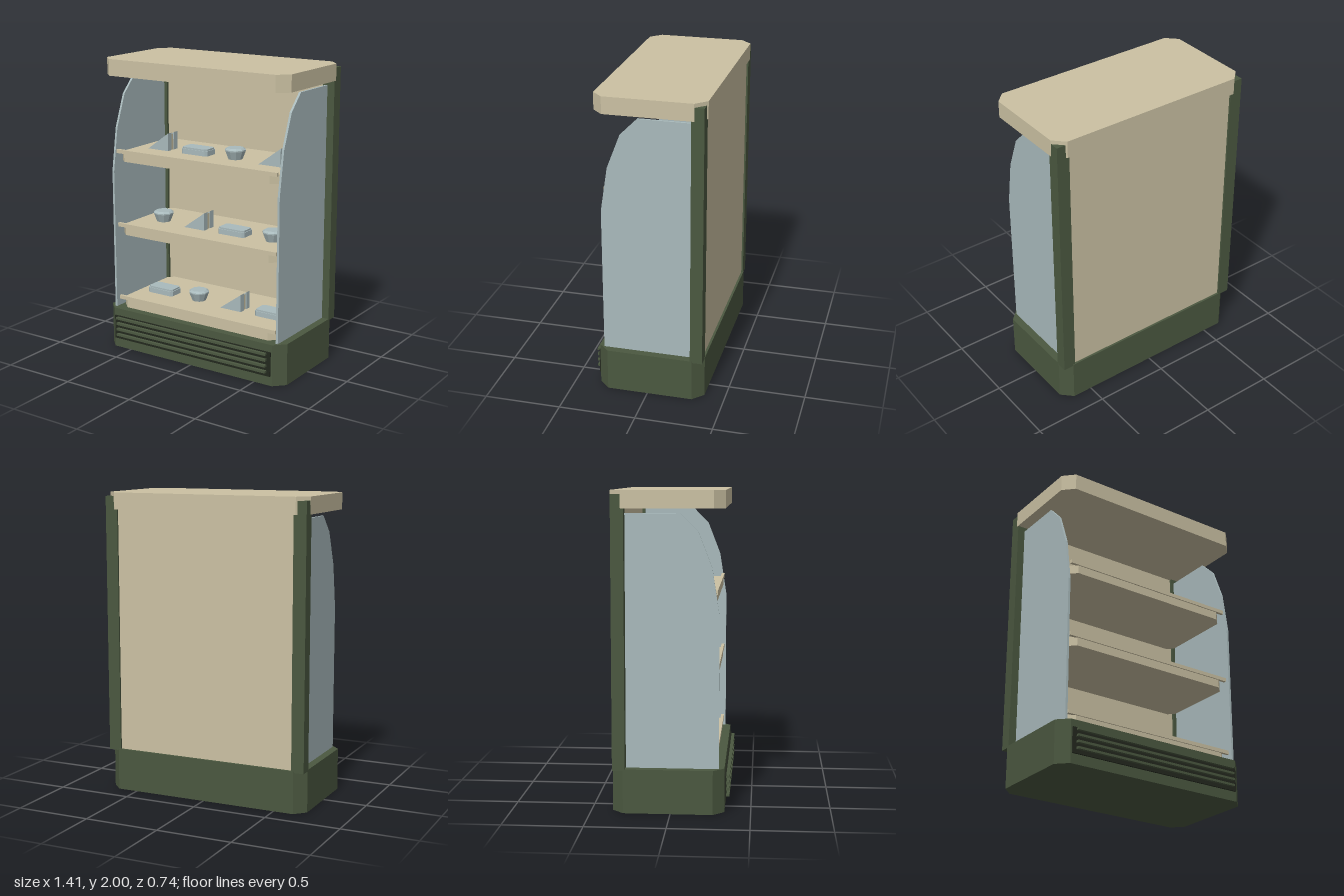
import * as THREE from 'three';

const mat = (name, color) => {
  const m = new THREE.MeshStandardMaterial({ color });
  m.name = name;
  return m;
};

export function createModel() {
  const cream = mat('cream', 0xcbc1a3);
  const green = mat('dark green', 0x4b5840);
  const glass = mat('pale blue', 0xa9babc);
  const black = mat('grille black', 0x23281e);
  const model = new THREE.Group();

  const add = (parent, name, geometry, material, x = 0, y = 0, z = 0) => {
    const mesh = new THREE.Mesh(geometry, material);
    mesh.name = name;
    mesh.position.set(x, y, z);
    parent.add(mesh);
    return mesh;
  };

  // Box given by its limits
  const box = (parent, name, material, x0, x1, y0, y1, z0, z1) =>
    add(parent, name, new THREE.BoxGeometry(x1 - x0, y1 - y0, z1 - z0), material,
      (x0 + x1) / 2, (y0 + y1) / 2, (z0 + z1) / 2);

  // Horizontal slab with its four upright corners cut off
  const slab = (halfX, z0, z1, cut, height) => {
    const s = new THREE.Shape([
      [-halfX + cut, -z1], [halfX - cut, -z1], [halfX, -z1 + cut], [halfX, -z0 - cut],
      [halfX - cut, -z0], [-halfX + cut, -z0], [-halfX, -z0 - cut], [-halfX, -z1 + cut],
    ].map(([x, y]) => new THREE.Vector2(x, y)));
    return new THREE.ExtrudeGeometry(s, { depth: height, bevelEnabled: false }).rotateX(-Math.PI / 2);
  };

  // Cabinet shell
  add(model, 'base', slab(0.705, -0.365, 0.335, 0.07, 0.28), green);
  add(model, 'canopy', slab(0.705, -0.37, 0.335, 0.07, 0.11), cream, 0, 1.89);
  box(model, 'backPanel', cream, -0.622, 0.622, 0.28, 1.89, -0.35, -0.3);

  // Curved side panes and rear corner posts
  const pane = new THREE.Shape([
    [-0.3, 0.28], [0.28, 0.28], [0.28, 1.86], [-0.06, 1.86],
    [-0.17, 1.75], [-0.255, 1.53], [-0.3, 1.24],
  ].map(([x, y]) => new THREE.Vector2(x, y)));
  const paneGeometry = new THREE.ExtrudeGeometry(pane, { depth: 0.015, bevelEnabled: false })
    .translate(0, 0, -0.0075).rotateY(Math.PI / 2);
  for (const side of [-1, 1]) {
    const label = side > 0 ? 'left' : 'right';
    add(model, label + 'Pane', paneGeometry, glass, side * 0.647);
    add(model, label + 'Post', new THREE.BoxGeometry(0.085, 1.705, 0.08), green, side * 0.6615, 1.1225, -0.322);
  }

  // Ventilation grille with slats
  box(model, 'grillePanel', black, -0.625, 0.625, 0.065, 0.23, 0.33, 0.345);
  for (let i = 0; i < 4; i++) {
    const y = 0.09 + i * 0.04;
    box(model, 'grilleSlat', green, -0.6, 0.6, y, y + 0.015, 0.34, 0.366);
  }

  // Goods: flat box, bowl with lid, wedge pack
  const bowlGeometry = new THREE.LatheGeometry(
    [[0, 0], [0.048, 0], [0.07, 0.056], [0.07, 0.064], [0.055, 0.075], [0, 0.075]]
      .map(([r, y]) => new THREE.Vector2(r, y)), 10).toNonIndexed();
  bowlGeometry.computeVertexNormals();
  const wedgeGeometry = (inset, depth) => new THREE.ExtrudeGeometry(new THREE.Shape([
    new THREE.Vector2(-0.082 + 2 * inset, 0), new THREE.Vector2(0.082 - inset, 0),
    new THREE.Vector2(0.082 - inset, 0.12 - 2 * inset),
  ]), { depth, bevelEnabled: false });
  const goods = [
    (g) => {
      add(g, 'packTray', slab(0.104, -0.06, 0.06, 0.015, 0.034), glass);
      add(g, 'packLid', slab(0.098, -0.054, 0.054, 0.015, 0.011), glass, 0, 0.034);
    },
    (g) => add(g, 'bowl', bowlGeometry, glass),
    (g) => {
      for (const z of [-0.055, 0.015]) add(g, 'wedgeSlice', wedgeGeometry(0, 0.04), glass, 0, 0, z);
      add(g, 'wedgeFilling', wedgeGeometry(0.006, 0.03), cream, 0, 0, -0.015);
    },
  ];

  // Shelves with front rails, goods rotating through the rows
  [0.36, 0.88, 1.39].forEach((top, row) => {
    const shelf = new THREE.Group();
    shelf.name = 'shelf';
    shelf.position.y = top;
    model.add(shelf);
    add(shelf, 'shelfBoard', slab(0.617, -0.31, 0.28, 0.05, 0.06), cream, 0, -0.08);
    box(shelf, 'shelfRail', cream, -0.625, 0.625, -0.025, 0, 0.268, 0.288);
    for (let i = 0; i < 4; i++) {
      const item = new THREE.Group();
      item.name = 'goods';
      item.position.set(-0.44 + i * 0.293, -0.02, 0.015);
      goods[(row + i) % 3](item);
      shelf.add(item);
    }
  });

  return model;
}
